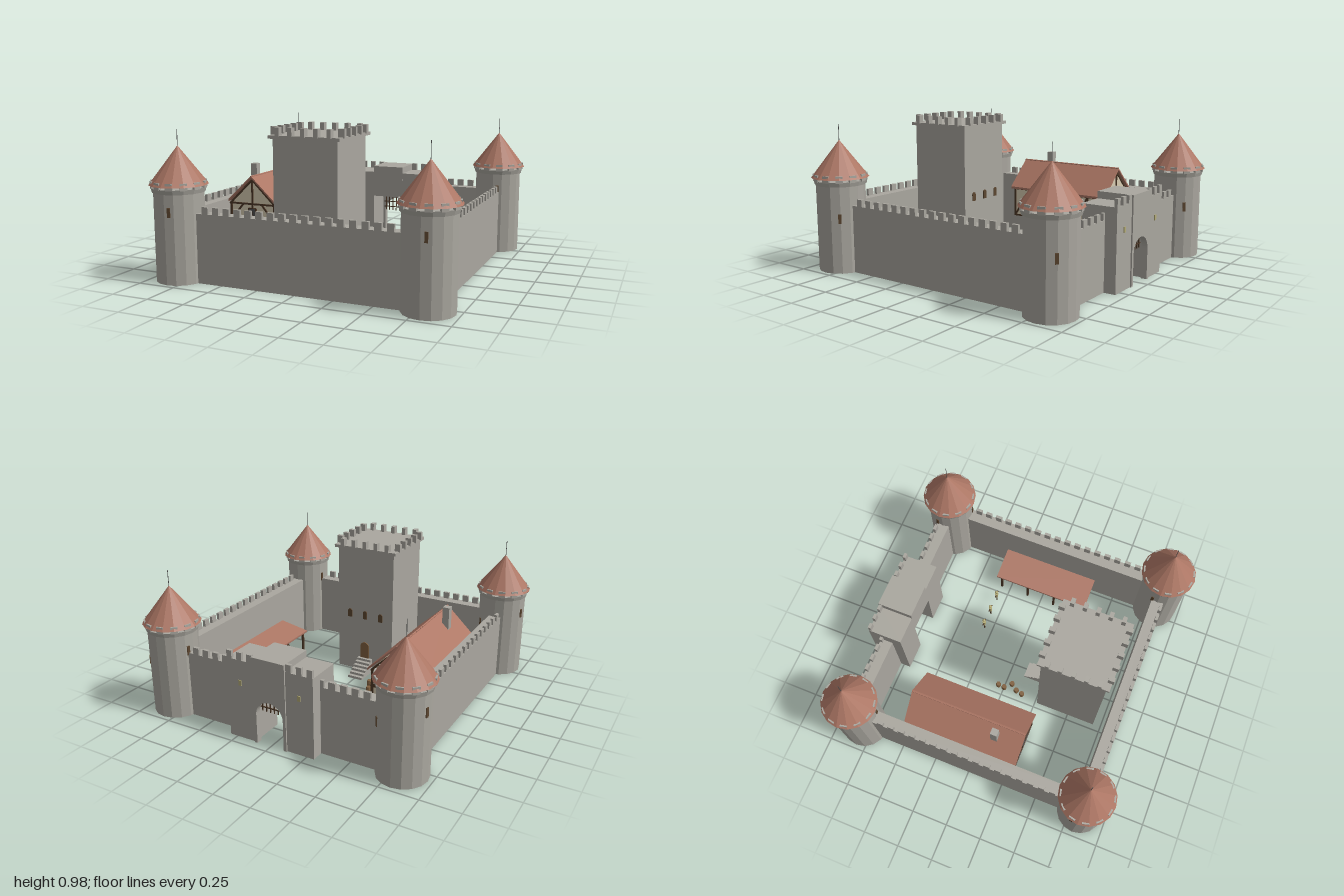
import * as THREE from 'three';

const mat = (color, flat = true) => new THREE.MeshStandardMaterial({ color, flatShading: flat, side: THREE.DoubleSide });
const STONE = mat(0xaaa79f), ROOF = mat(0xad7765), WOOD = mat(0x4d3827), PLASTER = mat(0xd8ccb2);
const DOOR = mat(0x80603f), DARK = mat(0x5c4630), STRAW = mat(0xb5ad78), IRON = mat(0x505050);

function add(parent, name, geo, material, x = 0, y = 0, z = 0) {
  const m = new THREE.Mesh(geo, material);
  m.name = name;
  m.position.set(x, y, z);
  parent.add(m);
  return m;
}

// box given by its centre in x and z and its bottom in y
const box = (p, name, material, w, h, d, x, y, z) =>
  add(p, name, new THREE.BoxGeometry(w, h, d), material, x, y + h / 2, z);

function group(parent, name, x = 0, y = 0, z = 0) {
  const g = new THREE.Group();
  g.name = name;
  g.position.set(x, y, z);
  parent.add(g);
  return g;
}

function extrude(points, depth) {
  const s = new THREE.Shape(points.map(([x, y]) => new THREE.Vector2(x, y)));
  return new THREE.ExtrudeGeometry(s, { depth, bevelEnabled: false });
}

// timber bar between two points of a plane of constant z
function beam(p, x1, y1, x2, y2, z, t = 0.012) {
  const m = add(p, 'timberBeam', new THREE.BoxGeometry(Math.hypot(x2 - x1, y2 - y1), t, 0.01), WOOD, (x1 + x2) / 2, (y1 + y2) / 2, z);
  m.rotation.z = Math.atan2(y2 - y1, x2 - x1);
}

// framed window in a plane of constant z
function windowAt(p, x, y, z, w = 0.035, h = 0.04) {
  box(p, 'windowFrame', WOOD, w + 0.012, h + 0.012, 0.008, x, y - h / 2 - 0.006, z);
  for (const s of [-1, 1]) box(p, 'windowPane', IRON, w / 2 - 0.003, h, 0.012, x + s * w / 4, y - h / 2, z);
}

function archShape(w, h) {
  const s = new THREE.Shape();
  s.moveTo(-w / 2, 0);
  s.lineTo(w / 2, 0);
  s.lineTo(w / 2, h - w / 2);
  s.absarc(0, h - w / 2, w / 2, 0, Math.PI);
  s.closePath();
  return s;
}
const archPanel = (w, h, d) => new THREE.ExtrudeGeometry(archShape(w, h), { depth: d, bevelEnabled: false, curveSegments: 8 });

function cornerTower(parent, x, z) {
  const t = group(parent, 'cornerTower', x, 0, z);
  add(t, 'towerBody', new THREE.CylinderGeometry(0.158, 0.158, 0.57, 16), STONE, 0, 0.285);
  add(t, 'towerCollar', new THREE.CylinderGeometry(0.173, 0.165, 0.03, 16), STONE, 0, 0.58);
  add(t, 'coneRoof', new THREE.ConeGeometry(0.185, 0.24, 16), ROOF, 0, 0.73);
  add(t, 'spire', new THREE.CylinderGeometry(0.002, 0.002, 0.11, 6), IRON, 0, 0.895);
  for (let i = 0; i < 12; i++) {
    const a = (i + 0.5) * Math.PI / 6;
    box(t, 'towerMerlon', STONE, 0.045, 0.045, 0.018, Math.sin(a) * 0.164, 0.59, Math.cos(a) * 0.164).rotation.y = a;
  }
  [[11, 0.455], [133, 0.36], [255, 0.455]].forEach(([deg, y]) => {
    const a = deg * Math.PI / 180;
    box(t, 'arrowSlit', DARK, 0.02, 0.06, 0.012, Math.sin(a) * 0.155, y - 0.03, Math.cos(a) * 0.155).rotation.y = a;
  });
}

// curtain wall along local x with its outer face to +z
function curtainWall(parent, turn, gap) {
  const w = group(parent, 'curtainWall');
  w.rotation.y = turn;
  if (gap) for (const s of [-1, 1]) box(w, 'wallBody', STONE, 0.5, 0.44, 0.084, s * 0.45, 0, 0.815);
  else box(w, 'wallBody', STONE, 1.4, 0.44, 0.084, 0, 0, 0.815);
  for (let i = -8; i <= 8; i++) {
    const x = i * 0.0755;
    if (!gap || Math.abs(x) > 0.3) box(w, 'wallMerlon', STONE, 0.043, 0.045, 0.02, x, 0.44, 0.847);
  }
}

function gatehouse(parent) {
  const g = group(parent, 'gatehouse');
  for (const s of [-1, 1]) {
    box(g, 'gateTower', STONE, 0.187, 0.525, 0.235, s * 0.208, 0, -0.818);
    for (let i = 0; i < 3; i++) box(g, 'gateMerlon', STONE, 0.036, 0.05, 0.02, s * (0.137 + i * 0.072), 0.525, -0.926);
    box(g, 'gateWindow', STRAW, 0.02, 0.035, 0.01, s * 0.208, 0.36, -0.936);
  }
  box(g, 'gateBlock', STONE, 0.23, 0.23, 0.245, 0, 0.34, -0.8225);
  // arched plate across the outer end of the passage
  const plate = new THREE.Shape();
  plate.moveTo(-0.115, 0);
  plate.lineTo(-0.095, 0);
  plate.lineTo(-0.095, 0.2);
  plate.absarc(0, 0.2, 0.095, Math.PI, 0, true);
  plate.lineTo(0.095, 0);
  plate.lineTo(0.115, 0);
  plate.lineTo(0.115, 0.34);
  plate.lineTo(-0.115, 0.34);
  add(g, 'gateArch', new THREE.ExtrudeGeometry(plate, { depth: 0.04, bevelEnabled: false }), STONE, 0, 0, -0.945);
  // raised portcullis
  for (let i = -3; i <= 3; i++) box(g, 'portcullisBar', WOOD, 0.006, 0.14, 0.006, i * 0.028, 0.2, -0.89);
  for (const y of [0.225, 0.265]) box(g, 'portcullisRail', WOOD, 0.2, 0.006, 0.006, 0, y, -0.89);
}

function keep(parent) {
  const k = group(parent, 'keep', 0, 0, 0.48);
  box(k, 'keepBody', STONE, 0.425, 0.905, 0.43, 0, 0, 0);
  box(k, 'keepPlatform', STONE, 0.47, 0.02, 0.47, 0, 0.905, 0);
  for (let side = 0; side < 4; side++) {
    const row = group(k, 'battlement');
    row.rotation.y = side * Math.PI / 2;
    for (let i = -2; i <= 2; i++) box(row, 'keepMerlon', STONE, 0.027, 0.055, 0.04, i * 0.085, 0.92, 0.223);
  }
  add(k, 'keepDoor', archPanel(0.065, 0.12, 0.01), DOOR, 0, 0.1, -0.222);
  for (const x of [-0.12, 0, 0.12]) add(k, 'keepWindow', archPanel(0.03, 0.06, 0.01), DARK, x, 0.4, -0.222);
  for (let i = 0; i < 6; i++) box(k, 'stairStep', STONE, 0.11, 0.1 * (i + 1) / 6, 0.027, -0.005, 0, -0.361 + i * 0.0265);
}

function hall(parent) {
  const h = group(parent, 'hall', -0.595, 0, -0.075);
  box(h, 'hallBase', STONE, 0.33, 0.2, 0.74, 0, 0, 0);
  add(h, 'hallUpperStorey', extrude([[-0.17, 0.2], [0.17, 0.2], [0.17, 0.415], [0, 0.58], [-0.17, 0.415]], 0.75), PLASTER, 0, 0, -0.375);
  add(h, 'hallRoof', extrude([[-0.195, 0.405], [0, 0.59], [0.195, 0.405], [0.195, 0.42], [0, 0.603], [-0.195, 0.42]], 0.79), ROOF, 0, 0, -0.395);
  for (let i = 0; i < 26; i++) {
    const r = add(h, 'ridgeTile', new THREE.CylinderGeometry(0.007, 0.008, 0.03, 6), ROOF, 0, 0.598, -0.38 + i * 0.0304);
    r.rotation.x = Math.PI / 2;
  }
  box(h, 'chimney', STONE, 0.045, 0.2, 0.045, -0.07, 0.465, 0.21);
  // gable framing on both ends
  for (const s of [-1, 1]) {
    const e = group(h, 'gableFrame');
    e.rotation.y = s > 0 ? 0 : Math.PI;
    const z = 0.377;
    for (const y of [0.206, 0.3, 0.41]) beam(e, -0.17, y, 0.17, y, z);
    for (const x of [-0.164, 0, 0.164]) beam(e, x, 0.2, x, x ? 0.41 : 0.57, z);
    for (const m of [-1, 1]) {
      beam(e, m * 0.175, 0.405, 0, 0.575, z);
      beam(e, m * 0.16, 0.3, m * 0.07, 0.41, z);
      windowAt(e, m * 0.065, 0.255, z);
    }
    windowAt(e, 0, 0.355, z + 0.004, 0.05, 0.045);
  }
  // long sides
  for (const s of [-1, 1]) {
    const f = group(h, 'sideFrame');
    f.rotation.y = s * Math.PI / 2;
    const z = 0.172;
    for (const y of [0.206, 0.405]) beam(f, -0.375, y, 0.375, y, z);
    for (let i = 0; i <= 6; i++) {
      const x = -0.369 + i * 0.123;
      beam(f, x, 0.2, x, 0.41, z);
      if (i < 6 && i % 2) windowAt(f, x + 0.0615, 0.32, z);
      else if (i < 6) beam(f, x, 0.21, x + 0.123, 0.4, z);
    }
    for (const x of [-0.27, -0.14, 0.14, 0.27]) windowAt(f, x, 0.13, 0.166);
    if (s > 0) box(f, 'hallDoor', DOOR, 0.06, 0.13, 0.012, 0, 0.02, 0.167);
  }
}

function shed(parent) {
  const s = group(parent, 'leanToShed', 0.65, 0, -0.005);
  add(s, 'shedRoof', extrude([[-0.11, 0.16], [0.11, 0.2], [0.11, 0.212], [-0.11, 0.172]], 0.69), ROOF, 0, 0, -0.345);
  for (let i = 0; i < 4; i++) {
    const z = -0.31 + i * 0.207;
    box(s, 'shedPost', WOOD, 0.014, 0.165, 0.014, -0.095, 0, z);
    box(s, 'shedPost', WOOD, 0.014, 0.195, 0.014, 0.095, 0, z);
  }
}

export function createModel() {
  const castle = new THREE.Group();
  castle.name = 'castle';
  for (const x of [-0.815, 0.815]) for (const z of [-0.815, 0.815]) cornerTower(castle, x, z);
  for (let i = 0; i < 4; i++) curtainWall(castle, i * Math.PI / 2, i === 2);
  gatehouse(castle);
  keep(castle);
  hall(castle);
  shed(castle);
  // training dummies
  for (const x of [0.19, 0.31, 0.432]) {
    const d = group(castle, 'trainingDummy', x, 0, -0.31);
    add(d, 'dummyPole', new THREE.CylinderGeometry(0.005, 0.005, 0.13, 6), WOOD, 0, 0.065);
    box(d, 'dummyArms', WOOD, 0.055, 0.008, 0.008, 0, 0.1, 0);
    add(d, 'dummyBody', new THREE.CylinderGeometry(0.013, 0.01, 0.05, 8), STRAW, 0, 0.09);
    add(d, 'dummyHead', new THREE.SphereGeometry(0.012, 8, 6), STRAW, 0, 0.138);
  }
  // barrels in the yard
  const stave = [[0, 0], [0.016, 0], [0.02, 0.025], [0.016, 0.05], [0, 0.05]].map(([r, y]) => new THREE.Vector2(r, y));
  for (const [x, z] of [[-0.193, -0.042], [-0.197, 0.003], [-0.153, 0.048], [-0.187, 0.094], [-0.198, 0.14]])
    add(castle, 'barrel', new THREE.LatheGeometry(stave, 10), DOOR, x, 0, z);
  return castle;
}
